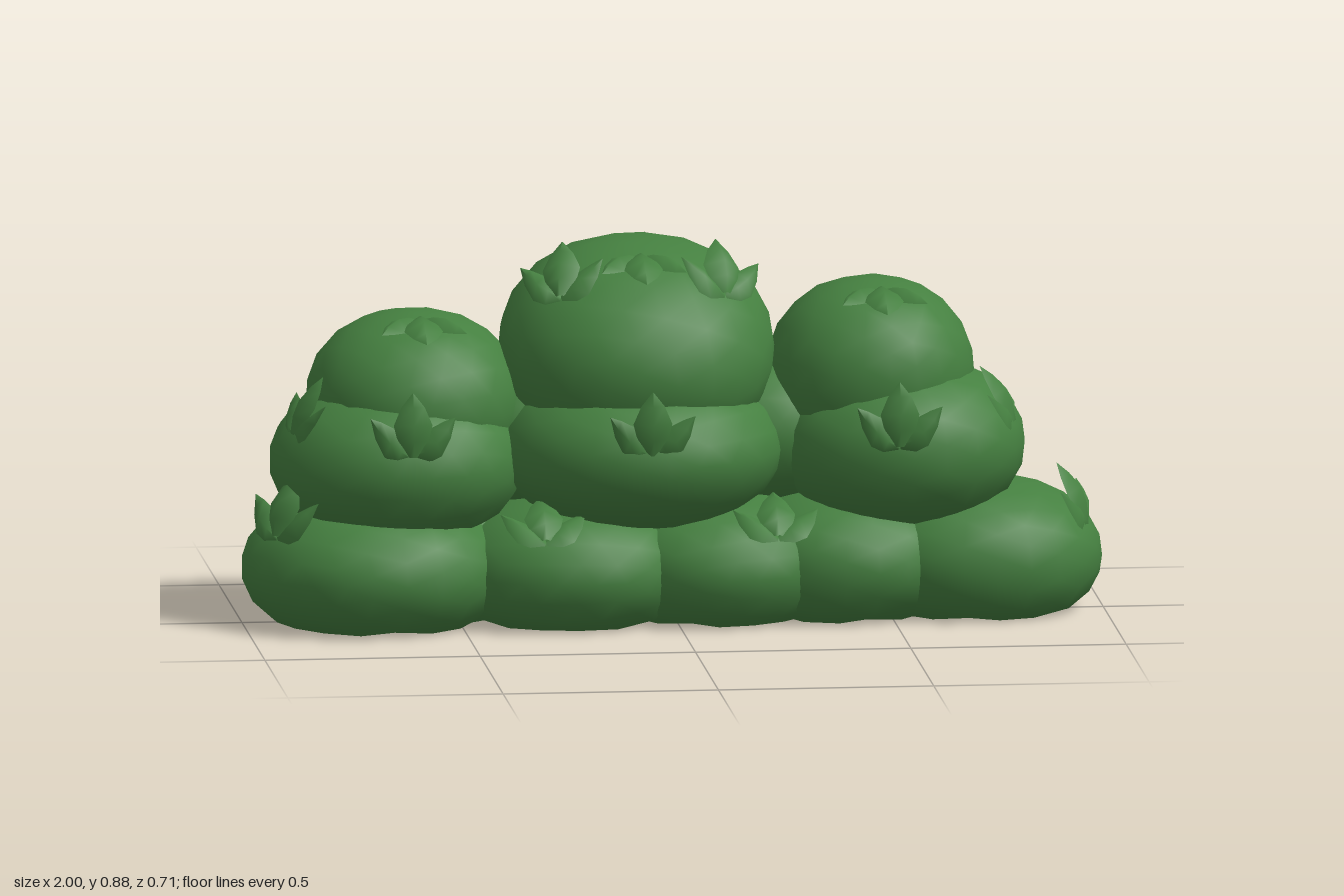
import * as THREE from 'three';
import { mergeVertices } from 'three/addons/utils/BufferGeometryUtils.js';

const foliageGreen = new THREE.MeshStandardMaterial({ color: 0x458040, side: THREE.DoubleSide });
foliageGreen.name = 'foliageGreen';

// Rounded clump: a slightly full ellipsoid, tipped forward by "tilt" and flattened at the ground
function clump([x, y, z, rx, ry, rz, tilt = 0], turn) {
  const g = mergeVertices(new THREE.IcosahedronGeometry(1, 3).deleteAttribute('uv').deleteAttribute('normal'), 1e-3);
  g.rotateY(turn);
  const p = g.attributes.position;
  const v = new THREE.Vector3();
  const e = 2.12;
  for (let i = 0; i < p.count; i++) {
    v.fromBufferAttribute(p, i);
    const k = Math.pow(Math.abs(v.x) ** e + Math.abs(v.y) ** e + Math.abs(v.z) ** e, -1 / e);
    p.setXYZ(i, v.x * k * rx, v.y * k * ry, v.z * k * rz);
  }
  g.rotateX(tilt).translate(x, y, z);
  for (let i = 0; i < p.count; i++) p.setY(i, Math.max(0, p.getY(i)));
  g.computeVertexNormals();
  return new THREE.Mesh(g, foliageGreen);
}

// Pointed leaf from cross-sections, folded along its midrib, growing along +y;
// "curl" sweeps it sideways and "bend" lifts its tip
function leafGeometry(length, width, bend, curl) {
  const rows = [[0, 0.2], [0.25, 0.8], [0.5, 1], [0.78, 0.6], [1, 0.02]];
  const pos = [], idx = [];
  rows.forEach(([t, w], i) => {
    const half = width * w / 2, z = bend * t * t, c = curl * t * t;
    pos.push(c - half, t * length, z, c, t * length, z + half * 0.6, c + half, t * length, z);
    if (i === 0) return;
    const a = (i - 1) * 3, b = i * 3;
    for (let s = 0; s < 2; s++) idx.push(a + s, a + s + 1, b + s + 1, a + s, b + s + 1, b + s);
  });
  const g = new THREE.BufferGeometry();
  g.setAttribute('position', new THREE.Float32BufferAttribute(pos, 3));
  g.setIndex(idx);
  g.computeVertexNormals();
  return g;
}
const middleLeaf = leafGeometry(0.15, 0.09, 0.005, 0);

// Three-leaved sprig: "up" is where the leaves point, "out" is where they face
function sprig(x, y, z, out, up) {
  const group = new THREE.Group();
  const mid = new THREE.Mesh(middleLeaf, foliageGreen);
  mid.position.z = 0.01;
  group.add(mid);
  for (const s of [-1, 1]) {
    const side = new THREE.Mesh(leafGeometry(0.125, 0.07, 0.01, -s * 0.05), foliageGreen);
    side.rotation.set(0.03, 0, -s * 1.2);
    group.add(side);
  }
  const n = new THREE.Vector3(...out).normalize();
  const u = new THREE.Vector3(...up).projectOnPlane(n).normalize();
  group.quaternion.setFromRotationMatrix(
    new THREE.Matrix4().makeBasis(new THREE.Vector3().crossVectors(u, n), u, n));
  group.position.set(x, y, z);
  group.name = 'leafSprig';
  return group;
}

export function createModel() {
  const bush = new THREE.Group();
  bush.name = 'hedge';

  // Clumps in three tiers: x, y, z, the three radii, then the tilt
  const tiers = {
    bottomClump: [
      [-0.69, 0.125, -0.01, 0.31, 0.18, 0.305], [-0.24, 0.12, -0.01, 0.29, 0.175, 0.285],
      [0.11, 0.12, -0.03, 0.28, 0.175, 0.285], [0.4, 0.125, -0.055, 0.28, 0.18, 0.288],
      [0.71, 0.125, -0.035, 0.29, 0.185, 0.26],
      [-0.5, 0.125, -0.1, 0.23, 0.175, 0.235],
    ],
    middleClump: [
      [-0.64, 0.375, -0.01, 0.295, 0.195, 0.28], [-0.08, 0.4, 0, 0.335, 0.19, 0.332],
      [0.53, 0.395, -0.02, 0.29, 0.2, 0.28],
      [-0.29, 0.42, -0.12, 0.24, 0.18, 0.225], [0.24, 0.42, -0.12, 0.24, 0.18, 0.225],
    ],
    topClump: [
      [-0.595, 0.51, -0.055, 0.25, 0.205, 0.25, 0.1], [-0.08, 0.625, -0.04, 0.32, 0.235, 0.305, 0.42],
      [0.465, 0.555, -0.055, 0.24, 0.22, 0.24, 0.1],
    ],
  };
  let turn = 0;
  for (const [name, list] of Object.entries(tiers)) {
    for (const blob of list) {
      const mesh = clump(blob, turn += 0.7);
      mesh.name = name;
      bush.add(mesh);
    }
  }

  // Sprigs on the front, ends, top and back
  const up = [0, 1, 0], forward = [0, 0, 1];
  const sprigs = [
    [-0.63, 0.425, 0.255, [0, 0.1, 1], up], [-0.08, 0.43, 0.312, [0, 0, 1], up],
    [0.5, 0.43, 0.26, [0, 0.1, 1], up],
    [-0.32, 0.215, 0.25, [0, 1, 0.6], up], [0.22, 0.215, 0.245, [0, 1, 0.6], up],
    [0.775, 0.45, 0.09, [1, 0.7, 0.25], up], [0.94, 0.22, 0.12, [1, 0.6, 0.3], up],
    [-0.885, 0.45, 0.09, [-1, 0.65, 0.25], up], [-0.93, 0.22, 0.13, [-0.8, 0.55, 0.7], up],
    [-0.59, 0.705, 0.04, [0, 1, 0.3], forward], [0.48, 0.755, 0.04, [0, 1, 0.3], forward],
    [-0.08, 0.845, 0.05, [0, 1, 0.35], forward],
    [-0.27, 0.765, 0.11, [-0.35, 0.75, 0.7], [0, 1, -0.5]],
    [0.11, 0.765, 0.11, [0.35, 0.75, 0.7], [0, 1, -0.5]],
    [-0.03, 0.69, -0.325, [0, 0.1, -1], up],
  ];
  for (const s of sprigs) bush.add(sprig(...s));
  return bush;
}
